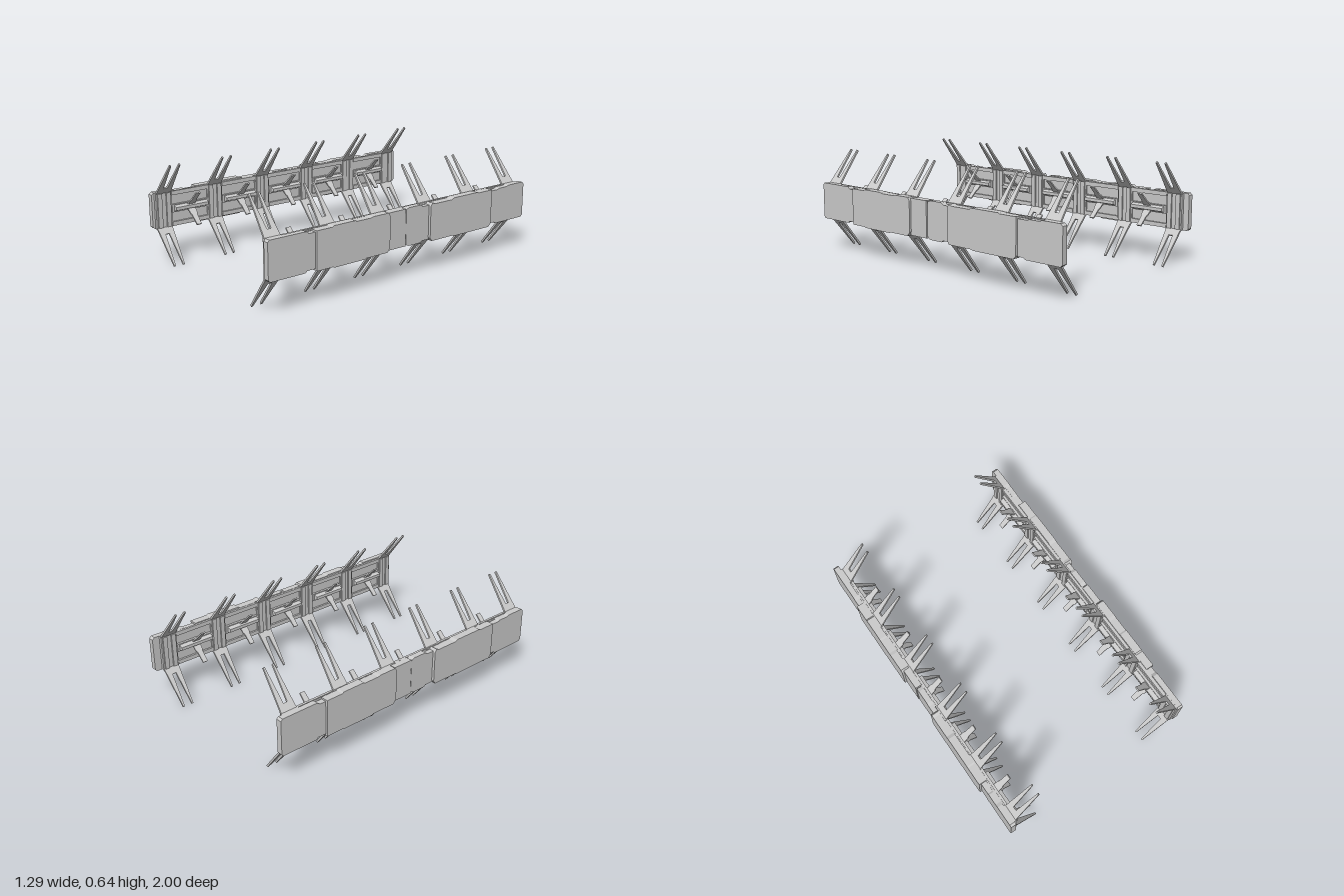
import * as THREE from 'three';

const material = new THREE.MeshStandardMaterial({ color: 0xcccccc, flatShading: true, side: THREE.DoubleSide });

function add(parent, name, geometry) {
  const mesh = new THREE.Mesh(geometry, material);
  mesh.name = name;
  parent.add(mesh);
  return mesh;
}

// Box given by its limits on each axis
function box(parent, name, [x0, x1], [y0, y1], [z0, z1]) {
  const mesh = add(parent, name, new THREE.BoxGeometry(x1 - x0, y1 - y0, z1 - z0));
  mesh.position.set((x0 + x1) / 2, (y0 + y1) / 2, (z0 + z1) / 2);
}

const toShape = (points) => new THREE.Shape(points.map(([x, y]) => new THREE.Vector2(x, y)));

// Flat outline (-z, y) given thickness along x
function plate(parent, points, x0, x1) {
  const g = new THREE.ExtrudeGeometry(toShape(points), { depth: x1 - x0, bevelEnabled: false });
  g.rotateY(Math.PI / 2).translate(x0, 0, 0);
  add(parent, 'armourPlate', g);
}

// Thin blade: outline width runs along z, outline length runs from start to end
function blade(parent, name, points, thickness, start, end, z) {
  const g = new THREE.ExtrudeGeometry(toShape(points), { depth: thickness, bevelEnabled: false });
  g.translate(0, 0, -thickness / 2);
  const along = new THREE.Vector3(end[0] - start[0], end[1] - start[1], 0).normalize();
  const across = new THREE.Vector3(0, 0, 1);
  const m = new THREE.Matrix4().makeBasis(across, along, across.clone().cross(along));
  m.setPosition(start[0], start[1], z);
  add(parent, name, g.applyMatrix4(m));
}

// Two-tined fork and the short single spike
const forkOutline = [
  [-0.052, 0], [0.052, 0], [0.05, 0.02], [0.036, 0.263], [0.026, 0.263],
  [0.013, 0.048], [-0.013, 0.048], [-0.026, 0.263], [-0.036, 0.263], [-0.05, 0.02],
];
const spikeOutline = [
  [-0.026, 0], [0.026, 0], [0.024, 0.05], [0.018, 0.062], [0.016, 0.135],
  [-0.016, 0.135], [-0.018, 0.062], [-0.024, 0.05],
];

// Outer plates: [inner x, outer x, outline]
const plates = [
  [0.598, 0.634, [[-0.99, 0.217], [-0.978, 0.205], [-0.75, 0.205], [-0.735, 0.216], [-0.67, 0.216],
    [-0.67, 0.424], [-0.72, 0.424], [-0.74, 0.438], [-0.978, 0.438], [-0.99, 0.426]]],
  [0.596, 0.647, [[-0.68, 0.205], [-0.57, 0.205], [-0.56, 0.2], [-0.34, 0.2], [-0.33, 0.205], [-0.172, 0.205],
    [-0.152, 0.23], [-0.152, 0.42], [-0.165, 0.44], [-0.28, 0.44], [-0.3, 0.435], [-0.4, 0.435],
    [-0.41, 0.441], [-0.56, 0.441], [-0.57, 0.434], [-0.68, 0.434]]],
  [0.592, 0.634, [[-0.155, 0.21], [-0.02, 0.21], [-0.02, 0.435], [-0.155, 0.435]]],
  [0.592, 0.63, [[-0.014, 0.215], [0.01, 0.205], [0.1, 0.205], [0.112, 0.215], [0.17, 0.215],
    [0.17, 0.425], [0.12, 0.425], [0.1, 0.438], [0.01, 0.438], [-0.014, 0.43]]],
  [0.596, 0.647, [[0.166, 0.225], [0.18, 0.205], [0.36, 0.205], [0.37, 0.2], [0.67, 0.2], [0.69, 0.22],
    [0.69, 0.436], [0.57, 0.436], [0.56, 0.441], [0.36, 0.441], [0.34, 0.432], [0.2, 0.432],
    [0.18, 0.44], [0.166, 0.42]]],
  [0.598, 0.634, [[0.68, 0.216], [0.73, 0.216], [0.75, 0.206], [0.985, 0.206], [1, 0.218], [1, 0.424],
    [0.985, 0.437], [0.86, 0.437], [0.84, 0.43], [0.77, 0.43], [0.76, 0.424], [0.68, 0.424]]],
];

const PITCH = 0.365;

// One wall on the +x side; shift moves the posts along z
function createWall(shift) {
  const wall = new THREE.Group();
  plates.forEach(([x0, x1, outline]) => plate(wall, outline, x0, x1));
  box(wall, 'backPanel', [0.588, 0.6], [0.215, 0.428], [shift - 0.955, shift + 0.955]);

  // Ribbed posts with a fork at the top and the bottom
  for (let i = 0; i < 6; i++) {
    const z = shift + (i - 2.5) * PITCH;
    box(wall, 'post', [0.579, 0.598], [0.205, 0.437], [z - 0.055, z + 0.055]);
    for (const s of [-1, 1]) {
      const c = z + s * 0.03;
      box(wall, 'postRib', [0.57, 0.58], [0.212, 0.43], [c - 0.015, c + 0.015]);
    }
    blade(wall, 'upperFork', forkOutline, 0.012, [0.585, 0.432], [0.42, 0.637], z);
    blade(wall, 'lowerFork', forkOutline, 0.012, [0.585, 0.21], [0.42, 0.005], z);
  }

  // Bays between the posts: sills, middle bar and a pair of short spikes
  for (let i = 0; i < 5; i++) {
    const z = shift + (i - 2) * PITCH;
    const span = [z - 0.13, z + 0.13];
    box(wall, 'topSill', [0.575, 0.59], [0.408, 0.434], span);
    box(wall, 'bottomSill', [0.575, 0.59], [0.21, 0.236], span);
    box(wall, 'barBacking', [0.572, 0.59], [0.298, 0.348], span);
    const bar = toShape([[0.574, 0.303], [0.574, 0.343], [0.558, 0.337], [0.545, 0.333], [0.545, 0.313], [0.558, 0.309]]);
    const g = new THREE.ExtrudeGeometry(bar, { depth: 0.23, bevelEnabled: false });
    add(wall, 'middleBar', g.translate(0, 0, z - 0.115));
    blade(wall, 'upperSpike', spikeOutline, 0.009, [0.571, 0.331], [0.475, 0.424], z);
    blade(wall, 'lowerSpike', spikeOutline, 0.009, [0.571, 0.315], [0.475, 0.222], z);
  }
  return wall;
}

export function createModel() {
  const model = new THREE.Group();
  model.name = 'spikedWalls';
  const left = createWall(0.015);
  left.name = 'leftWall';
  const right = createWall(-0.015);
  right.name = 'rightWall';
  right.rotation.y = Math.PI;
  model.add(left, right);
  return model;
}
